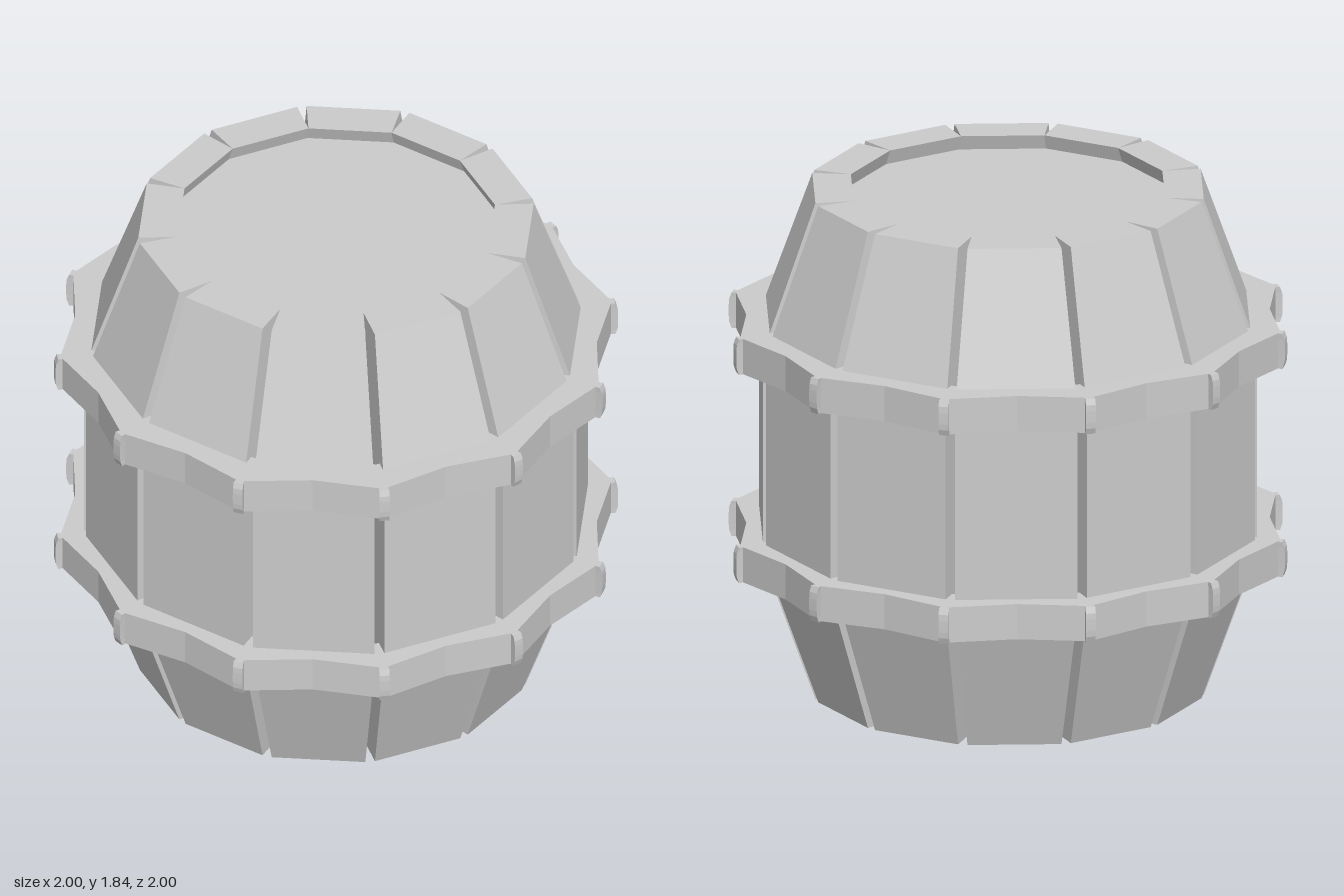
import * as THREE from 'three';

const SIDES = 12;
const STEP = (Math.PI * 2) / SIDES;
const GAP = 0.017; // half width of the groove between staves

const material = new THREE.MeshStandardMaterial({ color: 0xcccccc, flatShading: true });

function addMesh(parent, geometry, name) {
  const mesh = new THREE.Mesh(geometry, material);
  mesh.name = name;
  parent.add(mesh);
  return mesh;
}

// One bent stave: a wedge-sided cross-section lofted through four heights
function staveGeometry() {
  // [height, outer radius, inner radius]
  const levels = [[0, 0.7, 0.565], [0.54, 0.892, 0.757], [1.3, 0.892, 0.757], [1.835, 0.7, 0.565]];
  const positions = [];
  const index = [];
  for (const [y, outer, inner] of levels) {
    const half = STEP / 2;
    const trimmed = half - GAP / outer;
    for (const [r, a] of [[outer, -trimmed], [outer, trimmed], [inner, half], [inner, -half]]) {
      positions.push(r * Math.sin(a), y, r * Math.cos(a));
    }
  }
  for (let l = 0; l < levels.length - 1; l++) {
    for (let i = 0; i < 4; i++) {
      const a = l * 4 + i;
      const b = l * 4 + ((i + 1) % 4);
      index.push(a, b, b + 4, a, b + 4, a + 4);
    }
  }
  const t = (levels.length - 1) * 4;
  index.push(t, t + 1, t + 2, t, t + 2, t + 3); // top end
  index.push(0, 2, 1, 0, 3, 2); // bottom end
  const geometry = new THREE.BufferGeometry();
  geometry.setAttribute('position', new THREE.Float32BufferAttribute(positions, 3));
  geometry.setIndex(index);
  const flat = geometry.toNonIndexed();
  flat.computeVertexNormals();
  return flat;
}

// Points around a circle whose radius alternates through the given list
function ring(count, radii) {
  return Array.from({ length: count }, (_, i) => {
    const a = (i / count) * Math.PI * 2;
    const r = radii[i % radii.length];
    return new THREE.Vector2(r * Math.cos(a), r * Math.sin(a));
  });
}

// Scalloped hoop, pointed at every groove
function hoopGeometry(height) {
  const shape = new THREE.Shape(ring(SIDES * 2, [0.98, 0.917]));
  shape.holes.push(new THREE.Path(ring(SIDES, [0.83])));
  const geometry = new THREE.ExtrudeGeometry(shape, { depth: height, bevelEnabled: false });
  geometry.rotateX(-Math.PI / 2);
  return geometry;
}

// Small rib on each hoop point, its outer face bowed and its root narrower
function ribGeometry(height) {
  const geometry = new THREE.BoxGeometry(0.036, height, 0.04, 1, 6, 1);
  const p = geometry.attributes.position;
  for (let i = 0; i < p.count; i++) {
    const v = p.getY(i) / (height / 2);
    if (p.getZ(i) > 0) p.setZ(i, 0.02 - 0.01 * v ** 4);
    else p.setX(i, p.getX(i) * 0.7);
  }
  geometry.translate(0, height / 2, 0.98);
  geometry.computeVertexNormals();
  return geometry;
}

export function createModel() {
  const barrel = new THREE.Group();
  barrel.name = 'barrel';

  // Staves
  const staves = new THREE.Group();
  staves.name = 'staves';
  barrel.add(staves);
  const stave = staveGeometry();
  for (let i = 0; i < SIDES; i++) {
    addMesh(staves, stave, 'stave').rotation.y = (i + 0.5) * STEP;
  }

  // Recessed end panels
  const panel = new THREE.CylinderGeometry(0.6, 0.6, 0.04, SIDES);
  addMesh(barrel, panel, 'lid').position.y = 1.76;
  addMesh(barrel, panel, 'base').position.y = 0.075;

  // Hoops with ribs
  const height = 0.13;
  const hoop = hoopGeometry(height);
  const rib = ribGeometry(height);
  for (const [name, y] of [['lowerHoop', 0.47], ['upperHoop', 1.24]]) {
    const group = new THREE.Group();
    group.name = name;
    group.position.y = y;
    addMesh(group, hoop, 'hoopBand');
    for (let i = 0; i < SIDES; i++) {
      addMesh(group, rib, 'hoopRib').rotation.y = i * STEP;
    }
    barrel.add(group);
  }
  return barrel;
}
